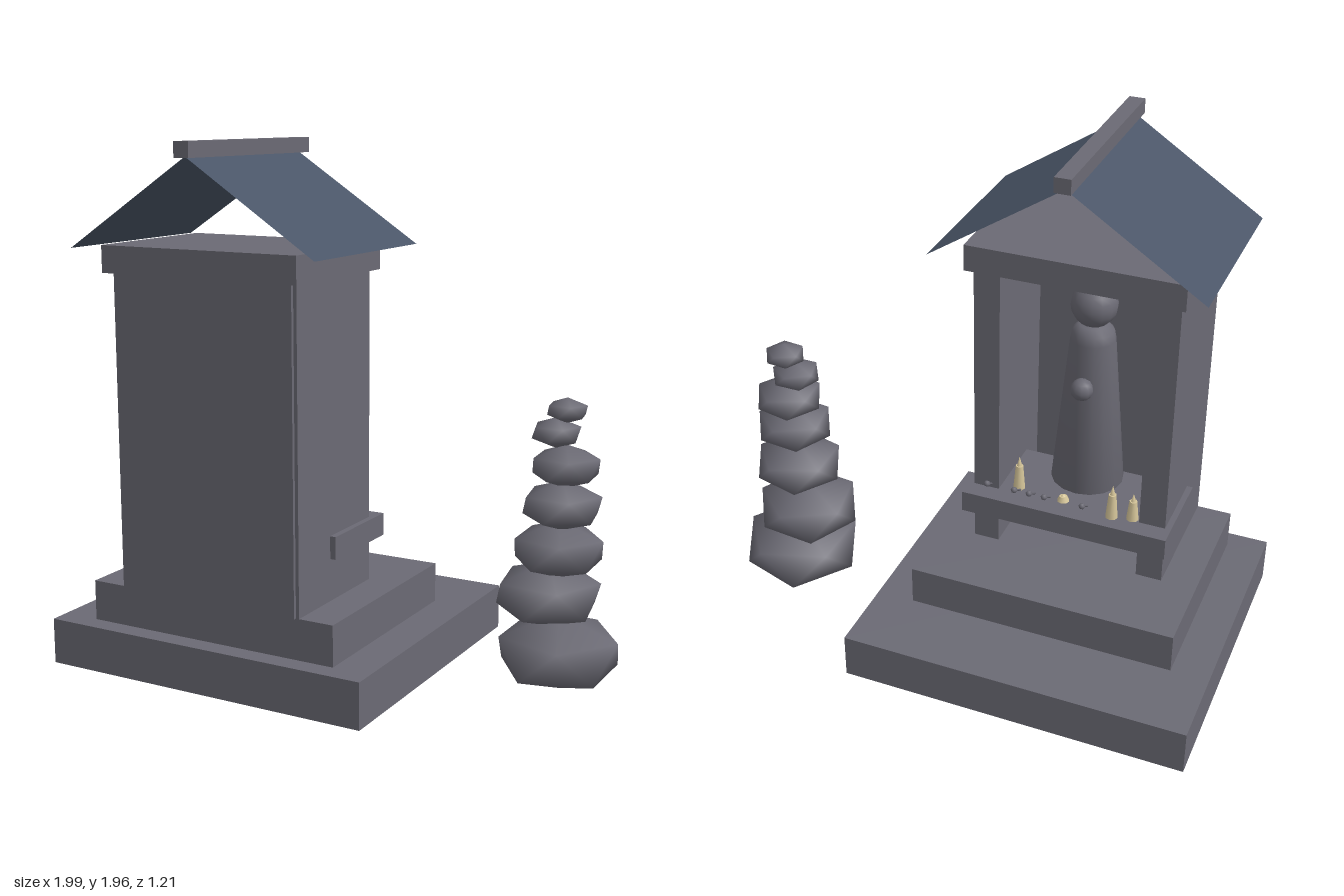
import * as THREE from 'three';
import { mergeVertices } from 'three/addons/utils/BufferGeometryUtils.js';

const stone = new THREE.MeshStandardMaterial({ color: 0x6b6a74 });
stone.name = 'grey stone';
const slate = new THREE.MeshStandardMaterial({ color: 0x4a5567, side: THREE.DoubleSide });
slate.name = 'blue slate';
const wax = new THREE.MeshStandardMaterial({ color: 0xd6c69a });
wax.name = 'cream wax';

const CX = -0.34; // shrine centre line

export function createModel() {
  const model = new THREE.Group();
  model.name = 'waysideShrine';

  const add = (name, geometry, material, x = 0, y = 0, z = 0, parent = model) => {
    const mesh = new THREE.Mesh(geometry, material);
    mesh.name = name;
    mesh.position.set(x, y, z);
    parent.add(mesh);
    return mesh;
  };
  // Box centred on the shrine line unless shifted by dx
  const block = (name, width, y0, y1, z0, z1, dx = 0) =>
    add(name, new THREE.BoxGeometry(width, y1 - y0, z1 - z0), stone,
      CX + dx, (y0 + y1) / 2, (z0 + z1) / 2);

  // Plinth, walls, shelf and lintel slab
  block('plinth', 1.32, 0, 0.174, -0.605, 0.575);
  block('step', 1.03, 0.174, 0.327, -0.31, 0.5);
  block('rearWall', 0.735, 0.327, 1.497, 0.4, 0.513);
  for (const s of [-1, 1]) block('sideWall', 0.1, 0.327, 1.497, -0.013, 0.5, s * 0.33);
  block('offeringShelf', 0.805, 0.485, 0.57, -0.085, 0.28);
  block('lintelSlab', 0.805, 1.497, 1.596, -0.05, 0.537);

  // Open gable roof of two thin sheets, with a ridge beam
  const run = 0.5, rise = 0.327;
  for (const s of [-1, 1]) {
    const sheet = new THREE.PlaneGeometry(Math.hypot(run, rise), 0.735);
    sheet.rotateX(-Math.PI / 2).rotateZ(-s * Math.atan2(rise, run));
    add('roofSheet', sheet, slate, CX + s * run / 2, 1.585 + rise / 2, 0.217);
  }
  block('ridgeBeam', 0.06, 1.908, 1.963, -0.18, 0.607);

  // Robed statue facing the opening
  const statue = new THREE.Group();
  statue.name = 'statue';
  statue.position.set(CX, 0.57, 0.21);
  model.add(statue);
  const robe = [[0, 0], [0.14, 0], [0.085, 0.61], [0.078, 0.645], [0.055, 0.67], [0, 0.68]]
    .map(([r, y]) => new THREE.Vector2(r, y));
  add('robe', new THREE.LatheGeometry(robe, 16), stone, 0, 0, 0, statue);
  add('head', new THREE.SphereGeometry(0.088, 14, 10), stone, 0, 0.75, 0, statue);
  add('hands', new THREE.SphereGeometry(0.043, 10, 8), stone, 0, 0.447, -0.11, statue);

  // Candles: [x, z, height]
  for (const [x, z, h] of [[-0.128, 0.028, 0.1], [-0.514, -0.017, 0.1], [-0.59, 0, 0.08], [-0.313, 0.011, 0.02]]) {
    const candle = new THREE.Group();
    candle.name = 'candle';
    candle.position.set(x, 0.57, z);
    model.add(candle);
    add('candleBody', new THREE.CylinderGeometry(0.015, 0.024, h, 8), wax, 0, h / 2, 0, candle);
    add('candleTip', new THREE.ConeGeometry(0.01, h * 0.4, 6), wax, 0, h * 1.2, 0, candle);
  }

  // Small stemmed offerings leaning over the shelf edge
  for (const x of [-0.03, -0.14, -0.2, -0.26, -0.41]) {
    const offering = new THREE.Group();
    offering.name = 'offering';
    offering.position.set(x, 0.572, 0.01);
    offering.rotation.x = -1;
    model.add(offering);
    add('stem', new THREE.CylinderGeometry(0.004, 0.004, 0.08, 5), stone, 0, 0.04, 0, offering);
    add('bud', new THREE.SphereGeometry(0.013, 6, 5), stone, 0, 0.08, 0, offering);
  }

  // Stack of smooth, squashed stones with one corner up: [x, y, z, radius, turn]
  const pebble = new THREE.IcosahedronGeometry(1, 0);
  pebble.rotateZ(-Math.atan(2 / (1 + Math.sqrt(5))));
  pebble.deleteAttribute('normal');
  pebble.deleteAttribute('uv');
  const smooth = mergeVertices(pebble, 1e-3);
  smooth.computeVertexNormals();
  const stack = [
    [0.77, 0.143, -0.107, 0.25, 0],
    [0.72, 0.35, -0.117, 0.213, 0.2],
    [0.765, 0.53, -0.092, 0.183, 0.05],
    [0.78, 0.697, -0.076, 0.158, 0.2],
    [0.783, 0.835, -0.097, 0.137, 0.1],
    [0.74, 0.95, -0.105, 0.097, 0.3],
    [0.775, 1.032, -0.115, 0.08, 0.2],
  ];
  const cairn = new THREE.Group();
  cairn.name = 'stoneStack';
  model.add(cairn);
  for (const [x, y, z, r, turn] of stack) {
    const rock = add('stackedStone', smooth, stone, x, y, z, cairn);
    rock.scale.set(r, r * 0.572, r);
    rock.rotation.y = turn;
  }

  return model;
}
